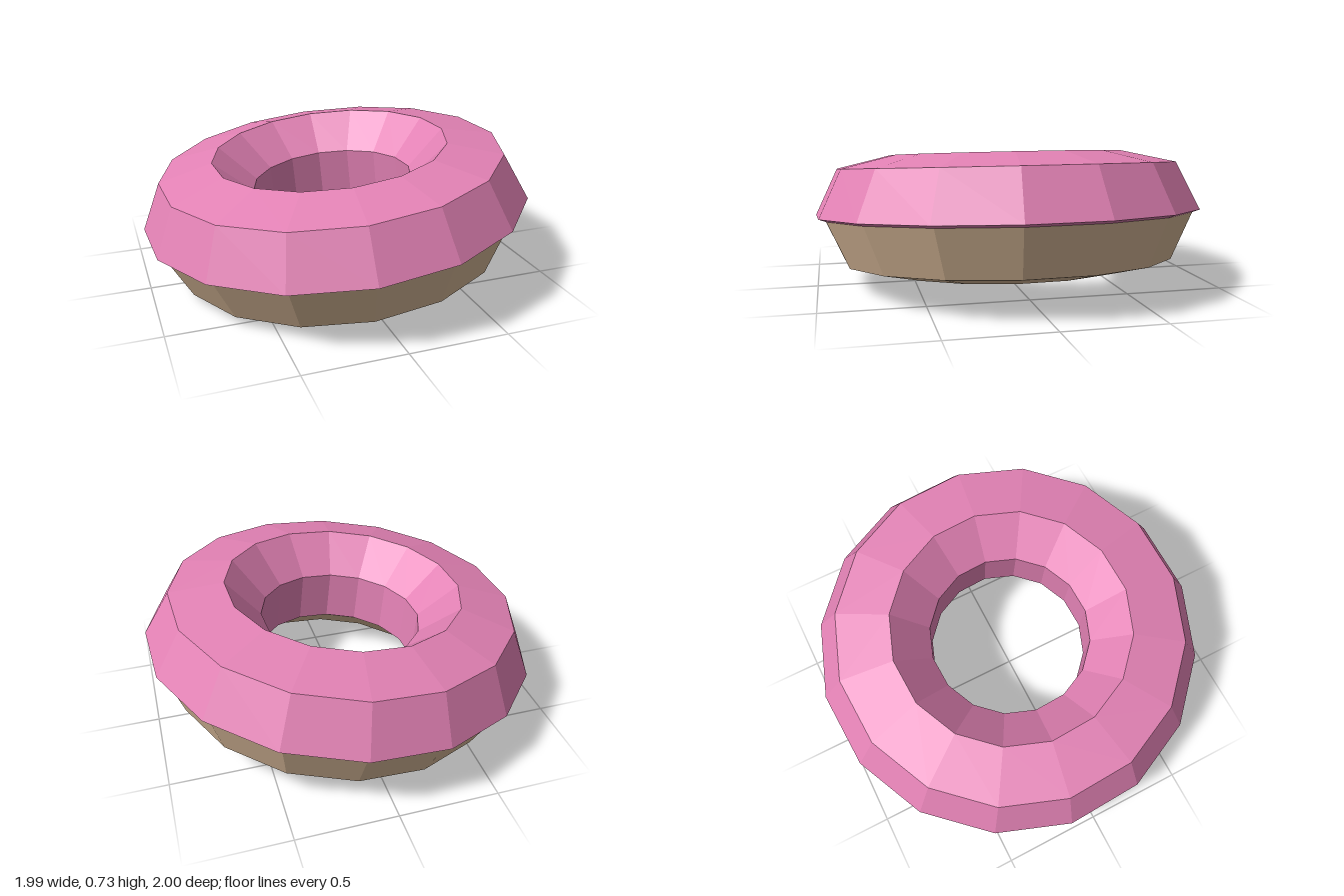
import * as THREE from 'three';

const SIDES = 16;
const PHASE = THREE.MathUtils.degToRad(13.9);

// Faceted ring turned from a [radius, height] profile, heights measured from the ring's mid plane
function ring(name, profile, color) {
  const points = profile.map(([r, y]) => new THREE.Vector2(r, y));
  const geometry = new THREE.LatheGeometry(points, SIDES, PHASE);
  const material = new THREE.MeshStandardMaterial({ color, flatShading: true });
  const mesh = new THREE.Mesh(geometry, material);
  mesh.name = name;
  return mesh;
}

export function createModel() {
  const donut = new THREE.Group();
  donut.name = 'donut';

  // Dough: closed seven-sided tube, its upper part covered by the icing
  donut.add(ring('dough', [
    [0.44, -0.155], [0.62, -0.305], [0.865, -0.25], [0.975, -0.01],
    [0.86, 0.21], [0.625, 0.27], [0.44, 0.105], [0.44, -0.155],
  ], 0xd9ba99));

  // Icing: shell over the top and down the hole, with a thin lip at both edges
  donut.add(ring('icing', [
    [0.972, -0.014], [1.011, 0], [0.895, 0.24], [0.614, 0.305],
    [0.42, 0.122], [0.42, -0.144], [0.44, -0.155],
  ], 0xe382b5));

  // The whole ring leans gently, its left side raised
  donut.rotation.z = Math.atan(0.0985);
  donut.position.y = 0.365;

  const model = new THREE.Group();
  model.add(donut);
  return model;
}
